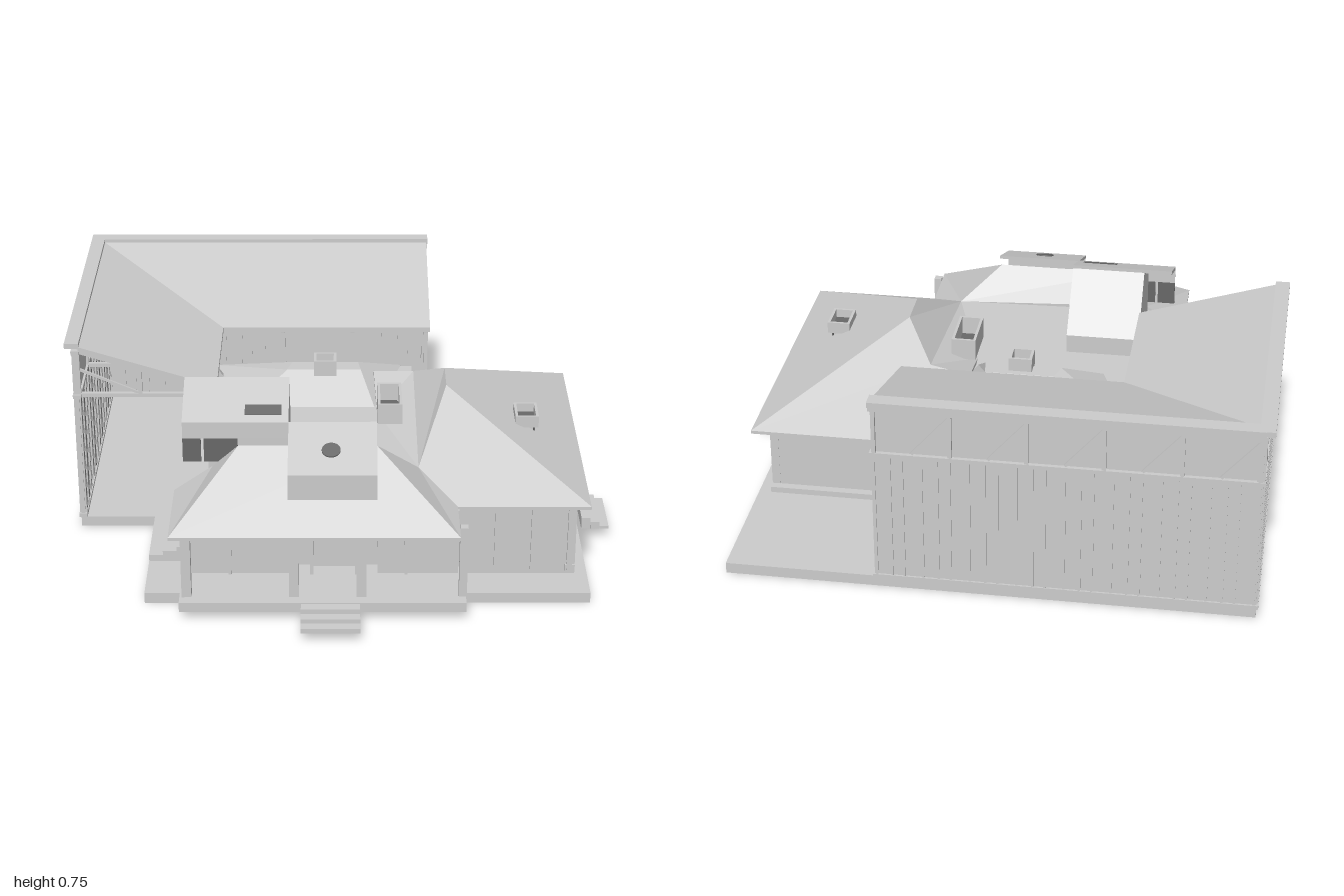
import * as THREE from 'three';

const light = new THREE.MeshStandardMaterial({ color: 0xcccccc, side: THREE.DoubleSide });
light.name = 'pale grey';
const dark = new THREE.MeshStandardMaterial({ color: 0x686868, side: THREE.DoubleSide });
dark.name = 'dark glass';

export function createModel() {
  const root = new THREE.Group();

  function add(name, geo, mat = light) {
    const m = new THREE.Mesh(geo, mat);
    m.name = name;
    root.add(m);
    return m;
  }
  // box given by its two extreme corners
  function box(name, x0, x1, y0, y1, z0, z1, mat) {
    const g = new THREE.BoxGeometry(x1 - x0, y1 - y0, z1 - z0);
    g.translate((x0 + x1) / 2, (y0 + y1) / 2, (z0 + z1) / 2);
    return add(name, g, mat);
  }
  // thin sheet from a convex outline, with thickness t downwards
  function sheet(name, pts, t = 0.012, mat = light) {
    const a = pts.map(p => new THREE.Vector3(...p));
    const n = new THREE.Vector3().crossVectors(a[1].clone().sub(a[0]), a[2].clone().sub(a[0]));
    if (n.y < 0) a.reverse();
    const b = a.map(p => p.clone().setY(p.y - t));
    const v = [];
    const tri = (...ps) => ps.forEach(p => v.push(p.x, p.y, p.z));
    for (let i = 1; i < a.length - 1; i++) {
      tri(a[0], a[i], a[i + 1]);
      tri(b[0], b[i + 1], b[i]);
    }
    a.forEach((p, i) => {
      const j = (i + 1) % a.length;
      tri(p, b[i], b[j]);
      tri(p, b[j], a[j]);
    });
    const g = new THREE.BufferGeometry();
    g.setAttribute('position', new THREE.Float32BufferAttribute(v, 3));
    g.computeVertexNormals();
    return add(name, g, mat);
  }
  // square bar between two points
  function bar(name, p, q, w = 0.014) {
    const a = new THREE.Vector3(...p), b = new THREE.Vector3(...q);
    const m = add(name, new THREE.BoxGeometry(w, w, a.distanceTo(b)));
    m.position.copy(a).lerp(b, 0.5);
    m.lookAt(b);
  }

  // plinth with its front left corner cut away
  const plan = new THREE.Shape([[-0.97, 0.94], [0.885, 0.94], [0.885, -0.7], [-0.69, -0.7], [-0.69, -0.13], [-0.97, -0.13]]
    .map(p => new THREE.Vector2(...p)));
  add('plinth', new THREE.ExtrudeGeometry(plan, { depth: 0.04, bevelEnabled: false }).rotateX(-Math.PI / 2));

  // porch floor and steps
  box('porchFloor', -0.56, 0.44, 0.04, 0.075, 0.45, 0.83);
  box('houseFloor', -0.55, 0.84, 0.04, 0.062, -0.46, 0.56);
  for (let i = 0; i < 3; i++) {
    box('frontStep', -0.135, 0.07, 0.032, 0.05 + i * 0.017, 0.925 - i * 0.037, 0.962 - i * 0.037);
    box('sideStep', 0.967 - i * 0.034, 1 - i * 0.034, 0.036, 0.048 + i * 0.016, 0, 0.22);
    box('leftStep', -0.69 + i * 0.05, -0.64 + i * 0.05, 0.04, 0.065 + i * 0.016, 0.13, 0.47);
  }

  // tall wing: outer walls, clerestory, battens
  box('backWall', -0.97, 0.35, 0.04, 0.54, -0.945, -0.93);
  box('leftWall', -0.97, -0.955, 0.04, 0.54, -0.94, 0.13);
  box('backClerestory', -0.965, 0.34, 0.54, 0.72, -0.938, -0.93);
  box('leftClerestory', -0.963, -0.955, 0.54, 0.72, -0.94, 0.12);
  for (const y of [0.04, 0.53, 0.705]) {
    box('backRail', -0.975, 0.355, y, y + 0.015, -0.952, -0.922);
    box('leftRail', -0.977, -0.947, y, y + 0.015, -0.95, 0.135);
  }
  for (let i = 0; i <= 24; i++) {
    const x = -0.96 + i * 0.0542 + (i % 3 === 1 ? 0.012 : 0);
    box('backBatten', x - 0.004, x + 0.004, 0.05, 0.535, -0.95, -0.924);
  }
  for (let i = 0; i <= 24; i++) {
    const z = -0.93 + i * 0.0438 + (i % 3 === 1 ? 0.01 : 0);
    box('leftBatten', -0.975, -0.949, 0.05, 0.535, z - 0.004, z + 0.004);
    if (i % 2) box('leftGroove', -0.954, -0.951, 0.05, 0.53, z - 0.013, z + 0.013, dark);
  }
  for (let i = 0; i <= 5; i++) {
    const x = -0.96 + i * 0.26;
    box('backPost', x - 0.007, x + 0.007, 0.54, 0.72, -0.95, -0.922);
    if (i < 5) bar('backBrace', [x, 0.7, -0.945], [x + 0.13, 0.55, -0.945], 0.01);
  }
  for (let i = 0; i <= 4; i++) {
    const z = -0.94 + i * 0.265;
    box('leftPost', -0.975, -0.947, 0.54, 0.72, z - 0.007, z + 0.007);
    if (i < 4) bar('leftBrace', [-0.97, 0.7, z], [-0.97, 0.55, z + 0.13], 0.01);
  }

  // tall wing: frames across the width, carried by inner posts
  for (const z of [0.115, -0.15]) {
    bar('leftTie', [-0.96, 0.54, z], [-0.47, 0.54, z]);
    bar('leftRafter', [-0.96, 0.715, z], [-0.46, 0.558, z]);
    bar('leftStrut', [-0.73, 0.54, z], [-0.73, 0.64, z]);
    bar('leftDiagonal', [-0.95, 0.64, z], [-0.73, 0.545, z], 0.009);
    bar('innerPost', [-0.48, 0.04, z], [-0.48, 0.56, z], 0.016);
  }
  for (const x of [0.335, 0.05, -0.22]) {
    bar('backTie', [x, 0.54, -0.935], [x, 0.54, -0.43]);
    bar('backRafter', [x, 0.715, -0.935], [x, 0.558, -0.42]);
    bar('backStrut', [x, 0.04, -0.67], [x, 0.64, -0.67]);
    bar('backDiagonal', [x, 0.64, -0.92], [x, 0.545, -0.67], 0.009);
    bar('innerPost', [x, 0.04, -0.44], [x, 0.56, -0.44], 0.016);
  }

  // tall wing: roof falling inward, with a raised rim
  sheet('leftWingRoof', [[-0.95, 0.735, -0.915], [-0.95, 0.735, 0.13], [-0.45, 0.58, 0.13], [-0.45, 0.58, -0.405]], 0.018);
  sheet('backWingRoof', [[-0.95, 0.735, -0.915], [-0.45, 0.58, -0.405], [0.35, 0.58, -0.405], [0.35, 0.735, -0.915]], 0.018);
  box('leftRim', -1, -0.948, 0.728, 0.748, -0.965, 0.13);
  box('backRim', -0.97, 0.355, 0.728, 0.748, -0.968, -0.913);

  // right wing roof
  const E = 0.333, R = 0.58;
  const ridgeB = [0.39, R, -0.03], ridgeF = [0.39, R, 0.12];
  const valleyF = [0.28, 0.41, 0.45], valleyB = [0.28, 0.485, -0.21];
  sheet('rightRoofSide', [[0.885, E, -0.52], ridgeB, ridgeF, [0.885, E, 0.605]]);
  sheet('rightRoofFront', [[0.885, E, 0.605], ridgeF, valleyF, [0.415, E, 0.605]]);
  sheet('rightRoofBack', [[0.885, E, -0.52], [0.36, E, -0.52], valleyB, ridgeB]);
  sheet('rightRoofBackCorner', [[0.36, E, -0.52], [0.13, 0.4, -0.42], [0.13, 0.47, -0.24], valleyB]);
  sheet('rightRoofInner', [ridgeB, valleyB, valleyF, ridgeF]);
  sheet('rightRoofValley', [valleyB, [0.13, 0.47, -0.24], [0.14, 0.41, 0], valleyF]);

  // front porch roof
  const topL = [-0.355, 0.54, 0.535], topR = [0.13, 0.54, 0.535];
  const heelL = [-0.45, 0.43, 0.475];
  sheet('porchRoofFront', [[-0.59, E, 0.83], [0.415, E, 0.83], topR, topL]);
  sheet('porchRoofRight', [[0.415, E, 0.83], [0.415, E, 0.605], valleyF, topR]);
  sheet('porchRoofLeft', [[-0.59, E, 0.83], topL, heelL, [-0.59, E, 0.475]]);
  sheet('porchRoofBack', [topL, topR, valleyF, heelL]);
  box('porchSoffit', -0.58, 0.41, 0.32, 0.326, 0.475, 0.82);
  box('rightSoffit', 0.28, 0.875, 0.32, 0.326, -0.51, 0.6);

  // middle roof: flat deck with a low hip
  box('middleDeck', -0.45, 0.28, 0.39, 0.41, -0.42, 0.47);
  const base = [[-0.48, 0.41, -0.43], [0.24, 0.41, -0.43], [0.06, 0.41, -0.05], [-0.34, 0.41, -0.05]];
  base[2][0] = 0.13;
  const cap = [[-0.18, 0.5, -0.26], [0.07, 0.5, -0.26], [0.08, 0.5, -0.19], [-0.2, 0.5, -0.19]];
  sheet('hipTop', cap);
  for (let i = 0; i < 4; i++) {
    const j = (i + 1) % 4;
    sheet('hipSlope', [base[i], base[j], cap[j], cap[i]]);
  }

  // left dormer: sloping slab over a wedge-shaped body
  const wedge = new THREE.Shape([[-0.475, 0.4], [-0.475, 0.595], [-0.28, 0.672], [-0.1, 0.48], [-0.1, 0.4]]
    .map(p => new THREE.Vector2(...p)));
  add('leftDormerBody', new THREE.ExtrudeGeometry(wedge, { depth: 0.27, bevelEnabled: false })
    .rotateY(Math.PI / 2).translate(-0.452, 0, 0));
  sheet('leftDormerRoof', [[-0.555, 0.605, 0.485], [-0.18, 0.605, 0.485], [-0.18, 0.685, 0.28], [-0.555, 0.685, 0.28]], 0.014);
  sheet('leftDormerSkylight', [[-0.335, 0.619, 0.452], [-0.205, 0.619, 0.452], [-0.205, 0.637, 0.405], [-0.335, 0.637, 0.405]], 0.008, dark);
  box('leftDormerFront', -0.555, -0.18, 0.54, 0.6, 0.474, 0.48);
  box('leftDormerWindow', -0.48, -0.36, 0.45, 0.54, 0.476, 0.482, dark);
  box('leftDormerWindow', -0.555, -0.49, 0.45, 0.54, 0.476, 0.482, dark);

  // front dormer: sloping slab with a round skylight
  sheet('frontDormerRoof', [[-0.18, 0.515, 0.715], [0.13, 0.515, 0.715], [0.13, 0.605, 0.48], [-0.18, 0.605, 0.48]], 0.012);
  box('frontDormerWall', -0.18, 0.13, 0.4, 0.512, 0.7, 0.71);
  const eye = add('roundSkylight', new THREE.CylinderGeometry(0.033, 0.033, 0.008, 24), dark);
  eye.position.set(-0.03, 0.557, 0.608);
  eye.rotation.x = Math.atan2(0.09, 0.235);

  // roof vents: hollow boxes with dark openings
  function vent(x, z, w, d, y0, y1) {
    const t = 0.01;
    for (const s of [-1, 1]) {
      const cx = x + s * (w - t) / 2, cz = z + s * (d - t) / 2;
      box('ventSide', cx - t / 2, cx + t / 2, y0, y1, z - d / 2, z + d / 2);
      box('ventEnd', x - w / 2, x + w / 2, y0, y1, cz - t / 2, cz + t / 2);
    }
    box('ventOpening', x - w / 2 + t, x + w / 2 - t, y0 + 0.004, y0 + 0.012, z - d / 2 + t, z + d / 2 - t, dark);
  }
  vent(-0.055, -0.195, 0.085, 0.085, 0.49, 0.55);
  vent(0.185, 0.045, 0.09, 0.19, 0.43, 0.51);
  vent(0.685, 0.125, 0.085, 0.12, 0.438, 0.482);
  box('ventNeck', 0.66, 0.71, 0.4, 0.44, 0.085, 0.165);
  box('ventSlit', 0.71, 0.716, 0.416, 0.432, 0.08, 0.17, dark);

  // right glazed wall and its posts
  box('rightGlass', 0.815, 0.822, 0.08, 0.32, -0.42, 0.57, dark);
  box('rightSill', 0.805, 0.84, 0.05, 0.08, -0.43, 0.57);
  for (let i = 0; i < 8; i++) {
    const z = -0.42 + i * 0.139;
    box('rightPost', 0.81, 0.84, 0.05, 0.33, z - 0.011, z + 0.011);
  }

  // front wall of the right wing
  box('rightFrontWall', 0.42, 0.81, 0.062, 0.33, 0.55, 0.56);
  for (const x of [0.43, 0.56, 0.69, 0.82]) box('rightFrontPost', x - 0.01, x + 0.01, 0.06, 0.33, 0.55, 0.572);

  // back and left walls
  box('rearWall', -0.4, 0.82, 0.05, 0.33, -0.43, -0.42);
  box('rearUpperWall', -0.4, 0.28, 0.33, 0.39, -0.42, -0.41);
  box('sideWall', -0.45, -0.44, 0.05, 0.4, -0.42, 0.5);

  // porch front wall with recessed entrance
  box('porchWallLeft', -0.53, -0.17, 0.075, 0.325, 0.61, 0.62);
  box('porchWallRight', 0.14, 0.42, 0.075, 0.325, 0.61, 0.62);
  box('entranceWall', -0.17, 0.14, 0.075, 0.325, 0.55, 0.56);
  box('door', -0.1, 0.06, 0.075, 0.3, 0.56, 0.569);
  for (const x of [-0.17, 0.14]) box('entranceReturn', x - 0.006, x + 0.006, 0.075, 0.325, 0.55, 0.62);
  for (const x of [-0.39, 0.235, -0.1, 0.06]) box('wallPost', x - 0.006, x + 0.006, 0.075, 0.325, 0.56, 0.63);
  box('porchSideRight', 0.41, 0.42, 0.06, 0.325, 0.56, 0.62);
  box('porchSideLeft', -0.535, -0.525, 0.075, 0.325, 0.48, 0.62);

  // porch columns
  for (const x of [-0.535, -0.16, 0.075]) box('porchColumn', x - 0.017, x + 0.017, 0.07, 0.33, 0.755, 0.789);
  box('cornerColumn', 0.415, 0.443, 0.04, 0.345, 0.755, 0.785);

  return root;
}
